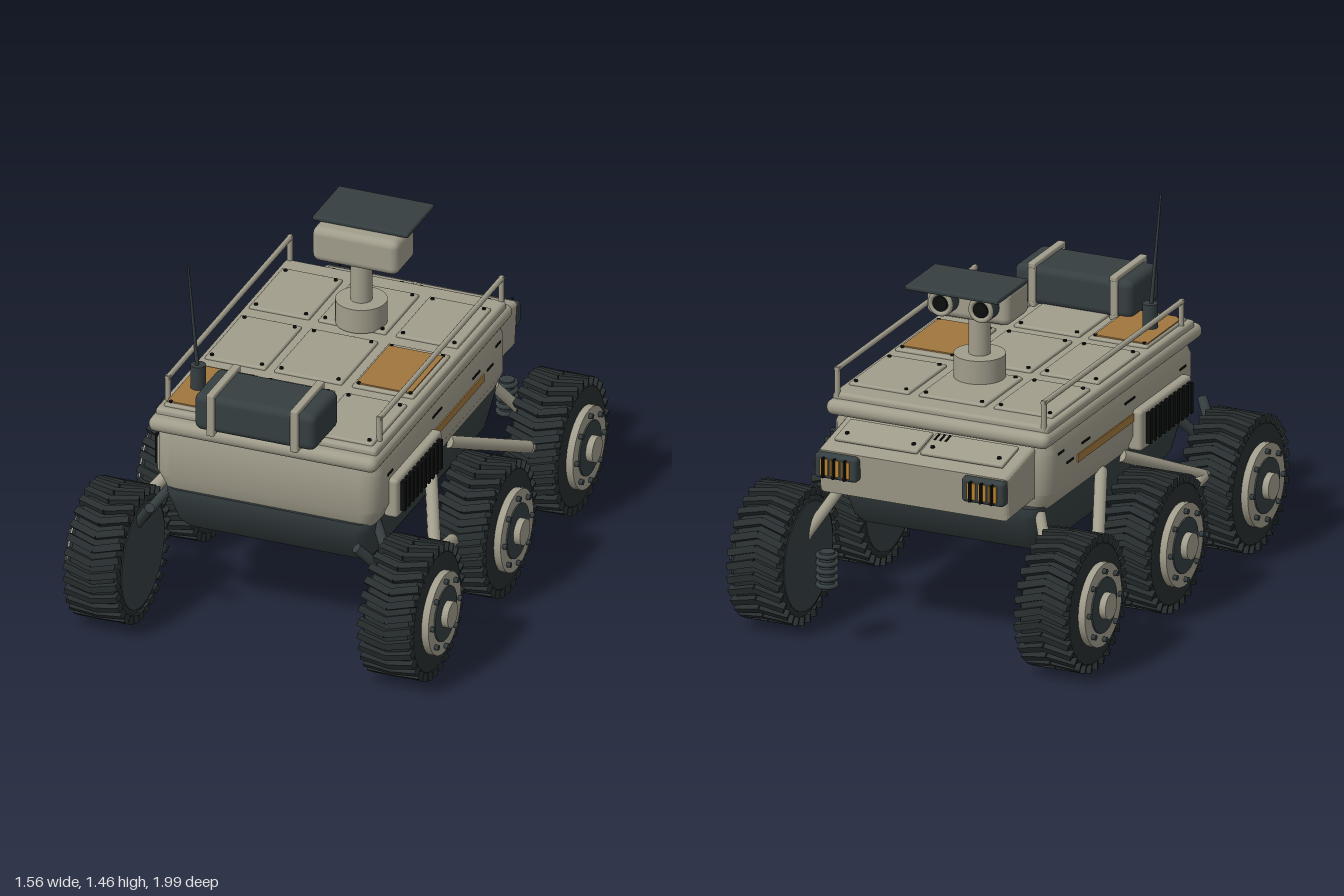
import * as THREE from 'three';
import { mergeGeometries, toCreasedNormals } from 'three/addons/utils/BufferGeometryUtils.js';
import { RoundedBoxGeometry } from 'three/addons/geometries/RoundedBoxGeometry.js';

const mat = (name, color) => Object.assign(new THREE.MeshStandardMaterial({ color }), { name });
const HULL = mat('hull khaki', 0xa19d8c);
const DARK = mat('dark slate', 0x353e40);
const TYRE = mat('tyre rubber', 0x282e2f);
const OCHRE = mat('ochre panel', 0xa1763e);
const BLACK = mat('black detail', 0x0c0e0e);
const AMBER = mat('amber lamp', 0xb9812f);

const V = (x, y, z) => new THREE.Vector3(x, y, z);

function add(parent, name, geo, material, x = 0, y = 0, z = 0) {
  const m = new THREE.Mesh(geo, material);
  m.name = name;
  m.position.set(x, y, z);
  parent.add(m);
  return m;
}
const box = (w, h, d) => new THREE.BoxGeometry(w, h, d);
const rbox = (w, h, d, r) => new RoundedBoxGeometry(w, h, d, 3, r);
const cyl = (r, h, n = 24, r2 = r) => new THREE.CylinderGeometry(r2, r, h, n);
const axle = (r, h, n = 32) => cyl(r, h, n).rotateZ(-Math.PI / 2);

// straight tube between two points
function rod(parent, name, a, b, r, material, r2 = r) {
  const d = b.clone().sub(a);
  const m = add(parent, name, cyl(r, d.length(), 12, r2), material);
  m.position.copy(a).addScaledVector(d, 0.5);
  m.quaternion.setFromUnitVectors(V(0, 1, 0), d.normalize());
  return m;
}

// stacked rounded rectangles: [y, halfX, halfZ, centreZ, cornerRadius]
function loft(sections) {
  const pos = [], idx = [], seg = 4, n = 4 * (seg + 1);
  for (const [y, hx, hz, cz, r] of sections) {
    for (let c = 0; c < 4; c++) {
      const sx = c === 0 || c === 3 ? 1 : -1, sz = c < 2 ? 1 : -1;
      for (let k = 0; k <= seg; k++) {
        const t = (c + k / seg) * Math.PI / 2;
        pos.push(sx * (hx - r) + r * Math.cos(t), y, cz + sz * (hz - r) + r * Math.sin(t));
      }
    }
  }
  const last = (sections.length - 1) * n, bottom = pos.length / 3;
  pos.push(0, sections[0][0], sections[0][3]);
  pos.push(0, sections.at(-1)[0], sections.at(-1)[3]);
  for (let i = 0; i < n; i++) {
    const j = (i + 1) % n;
    for (let o = 0; o < last; o += n) idx.push(o + i, o + n + i, o + j, o + j, o + n + i, o + n + j);
    idx.push(bottom, i, j, bottom + 1, last + j, last + i);
  }
  const g = new THREE.BufferGeometry();
  g.setAttribute('position', new THREE.Float32BufferAttribute(pos, 3));
  g.setIndex(idx);
  return toCreasedNormals(g, 0.5);
}

// tyre with chevron lugs, rim, hub and bolts; +x is outboard
function wheel(side) {
  const g = new THREE.Group();
  g.name = 'wheel';
  const profile = [[0, -0.1], [0.225, -0.105], [0.25, -0.09], [0.25, 0.09], [0.235, 0.108], [0.16, 0.112], [0, 0.112]]
    .map(([r, y]) => new THREE.Vector2(r, y));
  add(g, 'tyre', toCreasedNormals(new THREE.LatheGeometry(profile, 48).rotateZ(-Math.PI / 2), 0.5), TYRE);
  const lugs = [];
  for (let i = 0; i < 30; i++) for (const h of [-1, 1]) {
    lugs.push(box(0.115, 0.034, 0.028).rotateY(h * side * 0.28).translate(h * 0.054, 0.253, 0)
      .rotateX(i / 30 * Math.PI * 2));
  }
  add(g, 'treadLugs', mergeGeometries(lugs), TYRE);
  add(g, 'innerDisc', axle(0.215, 0.01), DARK, -0.104);
  add(g, 'rim', axle(0.165, 0.04), HULL, 0.12);
  add(g, 'rimDish', axle(0.11, 0.02), DARK, 0.136);
  add(g, 'hubCap', axle(0.052, 0.06), HULL, 0.143);
  const bolts = [];
  for (let i = 0; i < 8; i++) {
    bolts.push(axle(0.011, 0.024, 8).translate(0.144, 0.138, 0).rotateX(i / 8 * Math.PI * 2));
  }
  add(g, 'rimBolts', mergeGeometries(bolts), DARK);
  return g;
}

export function createModel() {
  const model = new THREE.Group();
  model.name = 'rover';

  // hull
  add(model, 'bellyPan', loft([[0.37, 0.385, 0.57, 0.04, 0.05], [0.4, 0.405, 0.6, 0.04, 0.06],
    [0.53, 0.425, 0.66, 0.04, 0.06], [0.565, 0.425, 0.66, 0.04, 0.06]]), DARK);
  add(model, 'upperHull', loft([[0.555, 0.43, 0.635, 0.05, 0.05], [0.62, 0.46, 0.66, 0.05, 0.07],
    [0.78, 0.46, 0.66, 0.05, 0.07], [0.84, 0.435, 0.645, 0.05, 0.06]]), HULL);
  add(model, 'deckRim', rbox(0.94, 0.062, 1.395, 0.03), HULL, 0, 0.85, 0.055);
  add(model, 'deck', rbox(0.91, 0.04, 1.31, 0.015), HULL, 0, 0.885, 0.05);

  // deck panels with corner screws
  const cols = [[-0.43, -0.18], [-0.145, 0.135], [0.175, 0.43]];
  const rows = [[-0.51, -0.17], [-0.1, 0.27], [0.33, 0.68]];
  const screws = [];
  cols.forEach(([x0, x1], i) => rows.forEach(([z0, z1], j) => {
    const cx = (x0 + x1) / 2, cz = (z0 + z1) / 2;
    add(model, 'deckPanel', rbox(x1 - x0, 0.02, z1 - z0, 0.008), HULL, cx, 0.906, cz);
    for (const x of [x0 + 0.022, x1 - 0.022]) for (const z of [z0 + 0.022, z1 - 0.022]) {
      screws.push(cyl(0.008, 0.008, 8).translate(x, 0.918, z));
    }
  }));
  add(model, 'deckScrews', mergeGeometries(screws), BLACK);
  add(model, 'ochreHatch', box(0.225, 0.008, 0.325), OCHRE, 0.3, 0.917, 0.09);
  add(model, 'ochreHatch', box(0.225, 0.008, 0.315), OCHRE, -0.31, 0.917, 0.505);

  // sloping nose
  const side = new THREE.Shape([[-0.56, 0.62], [-0.815, 0.61], [-0.832, 0.75], [-0.56, 0.805]]
    .map(([z, y]) => new THREE.Vector2(z, y)));
  const nose = new THREE.ExtrudeGeometry(side, { depth: 0.76, bevelSize: 0.02, bevelThickness: 0.02, bevelSegments: 3 });
  add(model, 'nose', nose.translate(0, 0, -0.38).rotateY(-Math.PI / 2), HULL);
  const slope = new THREE.Group();
  slope.name = 'noseTop';
  slope.position.set(0, 0.8, -0.72);
  slope.rotation.x = -0.2;
  model.add(slope);
  for (const s of [-1, 1]) {
    add(slope, 'noseHatch', rbox(0.35, 0.016, 0.15, 0.006), HULL, s * 0.18, 0.006, 0);
    for (const x of [0.04, 0.32]) add(slope, 'noseScrew', cyl(0.009, 0.006, 8), BLACK, s * x, 0.016, -0.03);
  }
  for (let i = 0; i < 3; i++) add(slope, 'noseSlot', box(0.008, 0.006, 0.045), BLACK, -0.07 + i * 0.023, 0.014, 0.045);

  for (const s of [-1, 1]) {
    // headlights
    add(model, 'lampHousing', rbox(0.18, 0.1, 0.05, 0.015), DARK, s * 0.31, 0.71, -0.858);
    for (let i = -1; i <= 1; i++) {
      add(model, 'lampLens', box(0.034, 0.066, 0.008), AMBER, s * 0.31 + i * 0.045, 0.71, -0.885);
      add(model, 'lampGuard', box(0.008, 0.08, 0.022), BLACK, s * 0.31 + i * 0.045, 0.71, -0.892);
    }

    // side vent, stripe and seams
    add(model, 'ventFrame', rbox(0.06, 0.165, 0.45, 0.015), HULL, s * 0.466, 0.642, 0.365);
    for (let i = 0; i < 10; i++) {
      add(model, 'ventSlat', box(0.024, 0.125, 0.019), BLACK, s * 0.503, 0.645, 0.19 + i * 0.04);
    }
    add(model, 'sideStripe', box(0.008, 0.032, 0.5), OCHRE, s * 0.461, 0.697, -0.105);
    for (const [y, z, l] of [[0.775, 0.11, 0.09], [0.745, -0.28, 0.07], [0.71, -0.42, 0.06], [0.77, -0.5, 0.05], [0.75, 0.58, 0.05]]) {
      add(model, 'sideSeam', box(0.006, 0.008, l), BLACK, s * 0.461, y, z);
    }

    // deck rail
    const x = s * 0.435;
    rod(model, 'railBar', V(x, 1, -0.605), V(x, 1, 0.63), 0.011, HULL);
    for (const z of [-0.597, 0.622]) rod(model, 'railPost', V(x, 0.87, z), V(x, 1.008, z), 0.011, HULL);

    // suspension
    const joint = V(s * 0.6, 0.37, 0.47), hub = z => V(s * 0.57, 0.272, z);
    const front = V(s * 0.6, 0.37, -0.47);
    rod(model, 'rearRocker', V(s * 0.43, 0.55, 0.1), joint, 0.025, HULL);
    rod(model, 'bogieArm', joint, hub(0), 0.025, HULL);
    rod(model, 'bogieArm', joint, hub(0.72), 0.025, HULL);
    rod(model, 'frontRocker', V(s * 0.43, 0.55, -0.08), front, 0.025, HULL);
    rod(model, 'frontArm', front, hub(-0.72), 0.025, HULL);
    rod(model, 'frontStrut', V(s * 0.41, 0.54, -0.58), V(s * 0.53, 0.32, -0.73), 0.022, HULL);
    rod(model, 'rearDamper', V(s * 0.425, 0.54, 0.83), V(s * 0.52, 0.4, 0.74), 0.02, DARK);
    rod(model, 'damperLink', V(s * 0.41, 0.55, 0.6), V(s * 0.52, 0.4, 0.7), 0.02, DARK);

    // wheels
    for (const z of [-0.723, 0, 0.723]) {
      const w = wheel(s);
      w.position.set(s * 0.605, 0.27, z);
      if (s < 0) w.rotation.y = Math.PI;
      model.add(w);
    }
  }

  // coil probe ahead of the nose
  add(model, 'probeCore', cyl(0.03, 0.14, 16), DARK, 0.325, 0.315, -0.92);
  for (let i = 0; i < 5; i++) {
    add(model, 'probeCoil', new THREE.TorusGeometry(0.035, 0.01, 8, 20).rotateX(Math.PI / 2), DARK, 0.325, 0.25 + i * 0.03, -0.92);
  }

  // camera mast
  add(model, 'mastBase', cyl(0.1, 0.1, 32), HULL, 0.01, 0.96, -0.23);
  add(model, 'mast', cyl(0.042, 0.2, 24), HULL, 0.01, 1.09, -0.23);
  add(model, 'cameraHead', rbox(0.355, 0.145, 0.19, 0.03), HULL, 0.012, 1.245, -0.245);
  for (const s of [-1, 1]) {
    add(model, 'cameraBarrel', cyl(0.052, 0.06, 24).rotateX(Math.PI / 2), DARK, 0.012 + s * 0.085, 1.25, -0.365);
    add(model, 'cameraRing', new THREE.TorusGeometry(0.042, 0.01, 8, 24), HULL, 0.012 + s * 0.085, 1.25, -0.395);
    add(model, 'cameraLens', cyl(0.03, 0.008, 24).rotateX(Math.PI / 2), BLACK, 0.012 + s * 0.085, 1.25, -0.398);
  }
  add(model, 'sunshade', rbox(0.395, 0.02, 0.27, 0.008), DARK, 0.012, 1.325, -0.345);

  // cargo case with straps
  add(model, 'cargoCase', rbox(0.5, 0.155, 0.25, 0.03), DARK, 0, 0.985, 0.697);
  for (const x of [-0.175, 0.17]) {
    for (const y of [0.913, 1.069]) add(model, 'cargoStrap', rbox(0.032, 0.022, 0.275, 0.006), HULL, x, y, 0.7);
    for (const z of [0.574, 0.828]) add(model, 'cargoStrap', rbox(0.032, 0.178, 0.02, 0.006), HULL, x, 0.991, z);
  }

  // whip antenna
  add(model, 'antennaBase', cyl(0.03, 0.11, 16), DARK, -0.355, 0.963, 0.515);
  rod(model, 'antennaWhip', V(-0.357, 1.0, 0.517), V(-0.385, 1.455, 0.545), 0.008, DARK, 0.004);

  return model;
}
